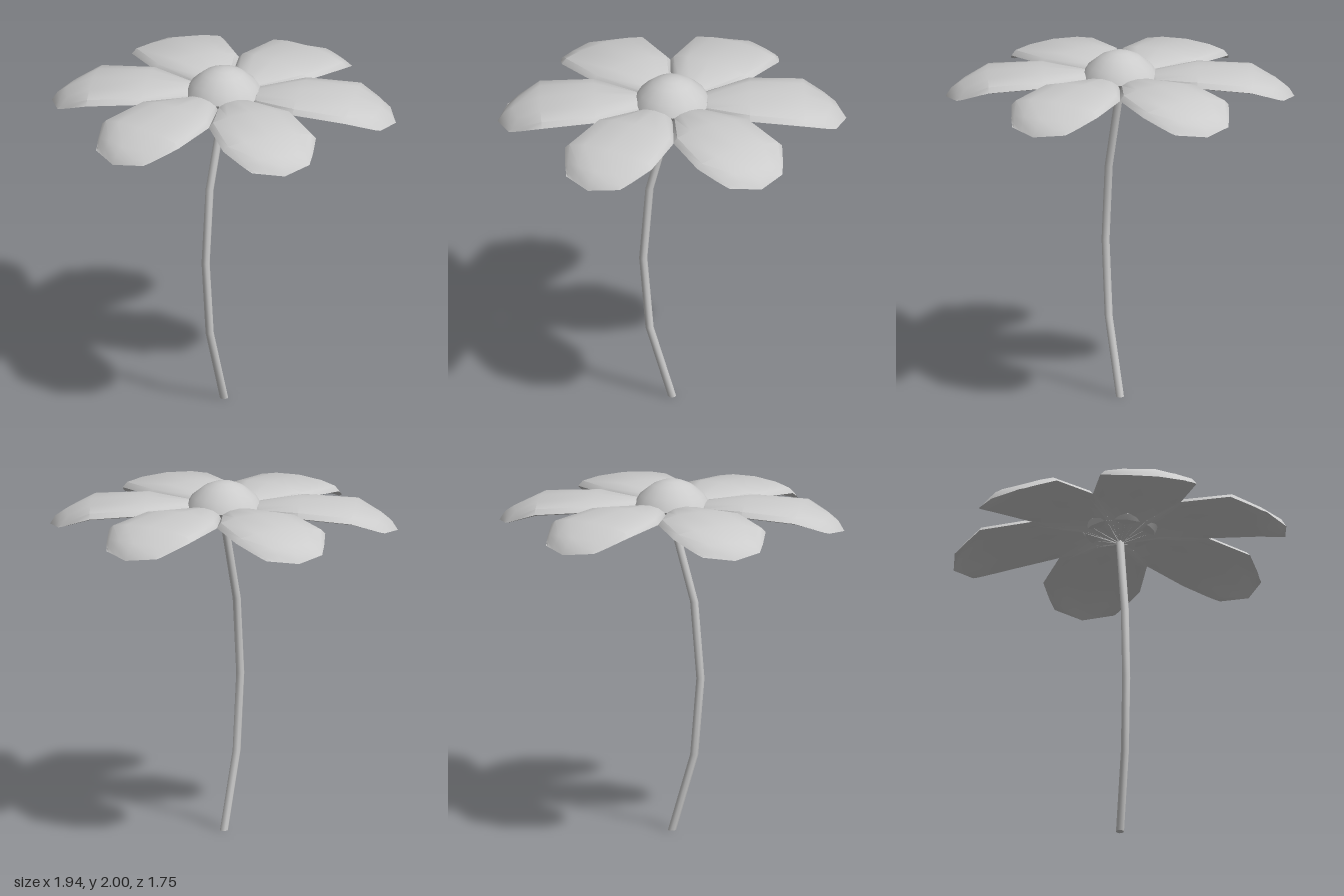
import * as THREE from 'three';
import { toCreasedNormals } from 'three/addons/utils/BufferGeometryUtils.js';

const material = new THREE.MeshStandardMaterial({ color: 0xcccccc, side: THREE.DoubleSide });

// Skin a list of closed loops, each an equal-length list of [x, y, z]
function loft(loops, crease) {
  const n = loops[0].length, index = [];
  for (let i = 0; i < loops.length - 1; i++) {
    for (let j = 0; j < n; j++) {
      const k = (j + 1) % n;
      const a = i * n + j, b = (i + 1) * n + j, c = (i + 1) * n + k, d = i * n + k;
      index.push(a, b, c, a, c, d);
    }
  }
  const g = new THREE.BufferGeometry();
  g.setAttribute('position', new THREE.Float32BufferAttribute(loops.flat(2), 3));
  g.setIndex(index);
  return toCreasedNormals(g, crease);
}

function addMesh(parent, name, geometry) {
  const mesh = new THREE.Mesh(geometry, material);
  mesh.name = name;
  parent.add(mesh);
  return mesh;
}

// Petal: a domed shell with a bevelled rim and a hollow underside, lying along +x
function petalGeometry() {
  // edge distance, middle distance, half width, middle height, edge height, thickness
  const rows = [
    [0.00, 0.00, 0.00, 1.79, 1.77, 0.02],
    [0.20, 0.20, 0.115, 1.885, 1.835, 0.03],
    [0.43, 0.43, 0.25, 1.905, 1.85, 0.03],
    [0.73, 0.74, 0.275, 1.885, 1.83, 0.03],
    [0.84, 0.89, 0.215, 1.82, 1.785, 0.025],
    [0.885, 0.94, 0.185, 1.785, 1.765, 0.02],
    [0.91, 0.97, 0.17, 1.737, 1.757, 0],
  ];
  const top = [[1, 1], [0.9, 0.5], [0.55, 0.15], [0, 0], [-0.55, 0.15], [-0.9, 0.5], [-1, 1]];
  const under = [[-0.86, 1], [-0.5, 0.25], [0, 0], [0.5, 0.25], [0.86, 1]];
  const loops = rows.map(([rEdge, rMid, half, yMid, yEdge, thick]) => {
    const point = ([t, drop], lower, width) => [
      rMid + (rEdge - rMid) * Math.abs(t),
      yMid + (yEdge - yMid) * (thick ? drop : Math.abs(t)) - lower,
      half * t * width,
    ];
    return [
      ...top.map((p) => point(p, 0, 1)),
      ...under.map((p) => point(p, Math.abs(p[0]) > 0.8 ? thick * 0.4 : thick, 1)),
    ];
  });
  return loft(loops, 0.75);
}

// Stem: level rings following a gentle bow
function stemGeometry() {
  const path = [[0, 0], [-0.125, 0.435], [-0.16, 0.87], [-0.125, 1.305], [0, 1.78]];
  const ring = (x, y, r) => Array.from({ length: 8 }, (_, j) => {
    const a = (j / 8) * Math.PI * 2;
    return [x + r * Math.cos(a), y, r * Math.sin(a)];
  });
  const loops = path.map(([x, y]) => ring(x, y, 0.023));
  loops.unshift(ring(0, 0, 0));
  loops.push(ring(0, 1.78, 0));
  return loft(loops, 0.9);
}

// Centre: a shallow dome with a flat underside
function centreGeometry() {
  const profile = [[0, 1.825], [0.195, 1.825], [0.215, 1.855], [0.18, 1.915],
    [0.11, 1.97], [0.055, 1.992], [0, 2]];
  const points = profile.map(([r, y]) => new THREE.Vector2(r, y));
  return toCreasedNormals(new THREE.LatheGeometry(points, 16), 0.9);
}

export function createModel() {
  const flower = new THREE.Group();
  flower.name = 'flower';
  addMesh(flower, 'stem', stemGeometry());
  addMesh(flower, 'flowerCentre', centreGeometry());

  // Six petals around the centre
  const petals = new THREE.Group();
  petals.name = 'petals';
  const geometry = petalGeometry();
  for (let i = 0; i < 6; i++) {
    addMesh(petals, `petal${i + 1}`, geometry).rotation.y = (i * Math.PI) / 3;
  }
  flower.add(petals);
  return flower;
}
